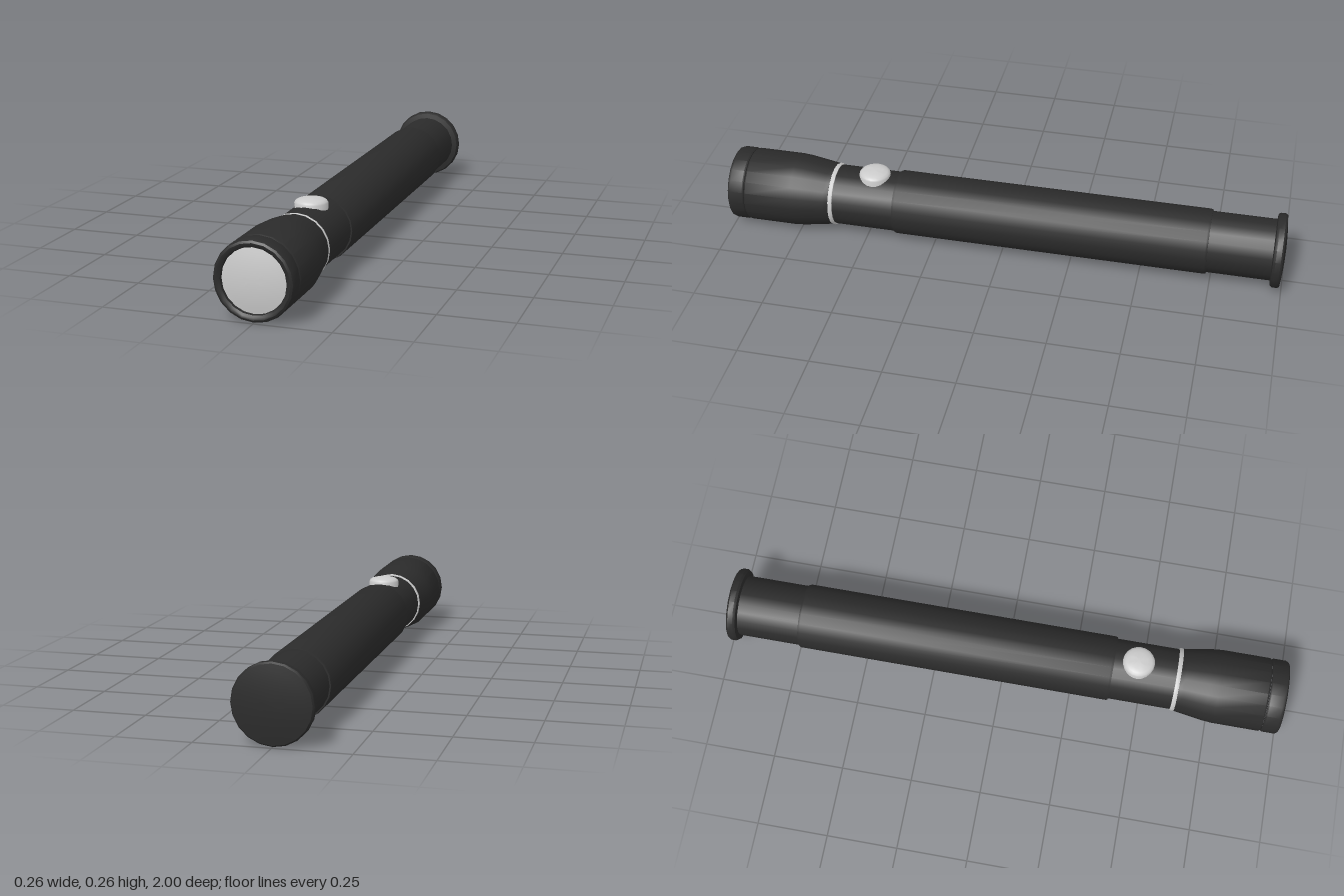
import * as THREE from 'three';
import { toCreasedNormals } from 'three/addons/utils/BufferGeometryUtils.js';

const SIDES = 20;
const AXIS_Y = 0.132;

const black = new THREE.MeshStandardMaterial({ color: 0x2b2b2b });
const grey = new THREE.MeshStandardMaterial({ color: 0xcccccc });

// Turned part: profile of [radius, height] pairs, listed from low to high
function turned(name, profile, material) {
  const points = profile.map(([r, h]) => new THREE.Vector2(r, h));
  const geometry = toCreasedNormals(new THREE.LatheGeometry(points, SIDES), 0.6);
  const mesh = new THREE.Mesh(geometry, material);
  mesh.name = name;
  return mesh;
}

// Shallow dome profile from its edge to the centre
function dome(radius, base, rise, steps = 5) {
  return Array.from({ length: steps + 1 }, (_, i) => {
    const r = radius * (1 - i / steps);
    return [r, base + rise * (1 - (r / radius) ** 2)];
  });
}

export function createModel() {
  const model = new THREE.Group();
  model.name = 'flashlight';

  // Everything turned about the long axis; local +y becomes +z
  const barrel = new THREE.Group();
  barrel.name = 'barrel';
  barrel.rotation.x = Math.PI / 2;
  barrel.position.y = AXIS_Y;
  model.add(barrel);

  // Tail cap with a slightly bulging end
  const tailEnd = dome(0.126, -0.992, -0.008).reverse();
  barrel.add(turned('tailCap', [
    ...tailEnd, [0.131, -0.986], [0.131, -0.968], [0.126, -0.96], [0.108, -0.957],
  ], black));

  barrel.add(turned('tube', [[0.108, -0.965], [0.108, 0.64]], black));

  // Thicker grip sleeve
  barrel.add(turned('grip', [
    [0.107, -0.735], [0.113, -0.735], [0.115, -0.728],
    [0.115, 0.383], [0.113, 0.39], [0.107, 0.39],
  ], black));

  // Bright ring between tube and head
  barrel.add(turned('ring', [
    [0.105, 0.612], [0.111, 0.612], [0.113, 0.616],
    [0.113, 0.623], [0.111, 0.627], [0.105, 0.627],
  ], grey));

  // Flared head
  barrel.add(turned('head', [
    [0.105, 0.627], [0.112, 0.627], [0.115, 0.645], [0.122, 0.69],
    [0.128, 0.73], [0.131, 0.765], [0.131, 0.932], [0.128, 0.937], [0.12, 0.937],
  ], black));

  // Bezel, rolled over the edge of the lens
  barrel.add(turned('bezel', [
    [0.12, 0.939], [0.128, 0.939], [0.131, 0.944], [0.131, 0.988],
    [0.128, 0.996], [0.121, 1], [0.113, 0.999], [0.107, 0.994], [0.105, 0.982],
  ], black));

  barrel.add(turned('lens', dome(0.106, 0.984, 0.012), grey));

  // Round switch button on top
  const button = turned('button', [
    [0.056, 0.2], [0.056, 0.244], [0.053, 0.25], [0.045, 0.255],
    [0.03, 0.259], [0.015, 0.261], [0, 0.262],
  ], grey);
  button.position.z = 0.475;
  model.add(button);

  return model;
}
